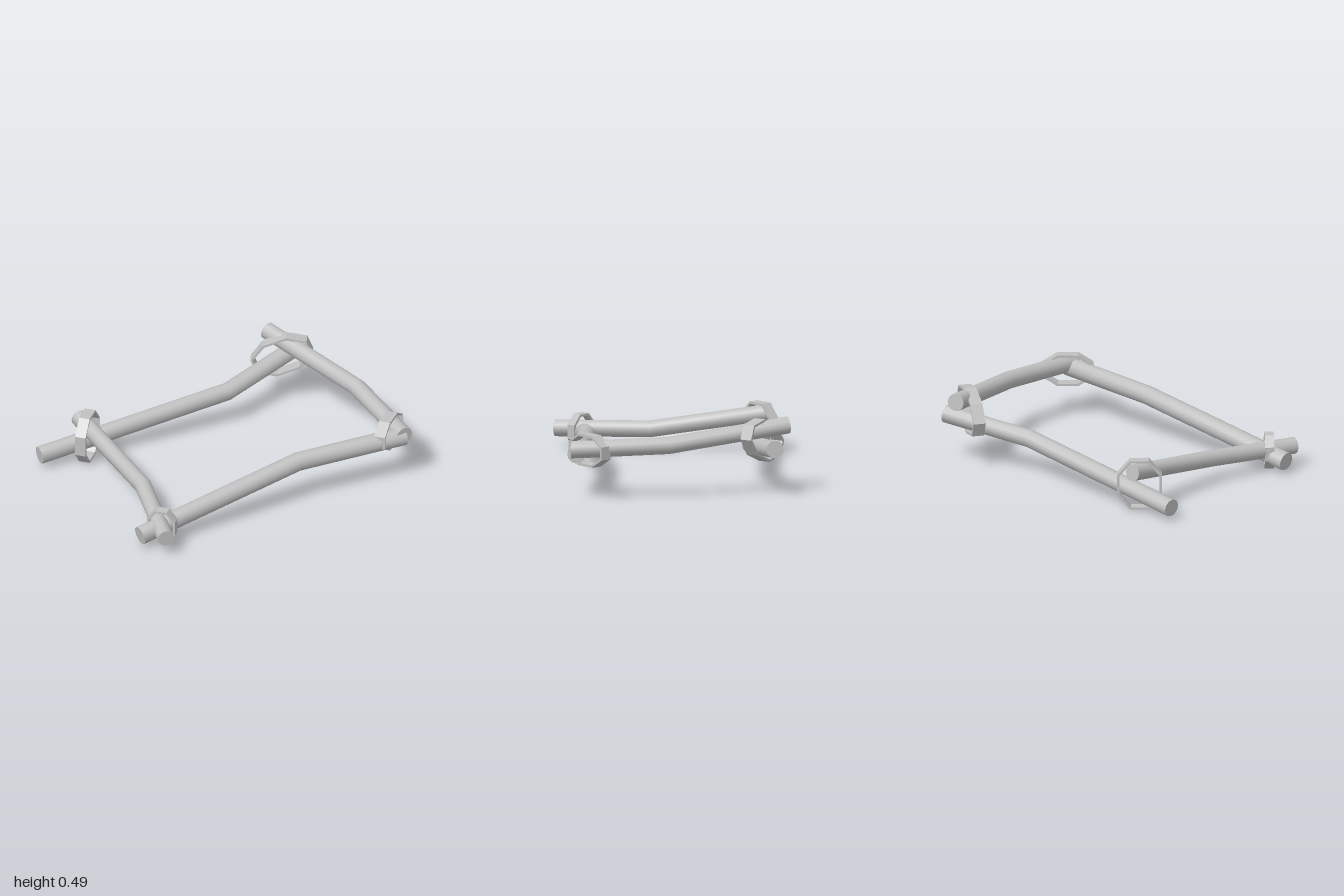
import * as THREE from 'three';
import { toCreasedNormals } from 'three/addons/utils/BufferGeometryUtils.js';

const V = (x, y, z) => new THREE.Vector3(x, y, z);

// Skins a list of equally sized vertex rings, either closed into a loop or capped
function skin(rings, closed, crease) {
  const n = rings[0].length, m = rings.length, pos = [], idx = [];
  rings.forEach(r => r.forEach(p => pos.push(p.x, p.y, p.z)));
  for (let i = 0; i < (closed ? m : m - 1); i++) {
    for (let j = 0; j < n; j++) {
      const k = (j + 1) % n, i2 = (i + 1) % m;
      const a = i * n + j, b = i * n + k, c = i2 * n + k, d = i2 * n + j;
      idx.push(a, b, c, a, c, d);
    }
  }
  if (!closed) {
    for (let j = 1; j < n - 1; j++) {
      const e = (m - 1) * n;
      idx.push(0, j + 1, j, e, e + j, e + j + 1);
    }
  }
  const g = new THREE.BufferGeometry();
  g.setAttribute('position', new THREE.Float32BufferAttribute(pos, 3));
  g.setIndex(idx);
  return toCreasedNormals(g, crease);
}

// Round pole bent at its middle point
function pole(points, radius) {
  const up = V(0, 1, 0), sides = 12;
  const rings = points.map((p, i) => {
    const t = V(0, 0, 0);
    if (i > 0) t.add(p.clone().sub(points[i - 1]).normalize());
    if (i < points.length - 1) t.add(points[i + 1].clone().sub(p).normalize());
    t.normalize();
    const a = up.clone().cross(t).normalize(), b = t.clone().cross(a);
    return Array.from({ length: sides }, (_, j) => {
      const w = j / sides * Math.PI * 2;
      return p.clone().addScaledVector(a, Math.cos(w) * radius).addScaledVector(b, Math.sin(w) * radius);
    });
  });
  return skin(rings, false, 0.7);
}

// Flat strap looped diagonally round a joint
function lashing({ at, dir, halfLength, halfHeight, roll, width }) {
  const u0 = dir.clone().normalize(), up = V(0, 1, 0);
  const n = u0.clone().cross(up).normalize();
  const u = u0.clone().applyAxisAngle(n, roll), v = up.clone().applyAxisAngle(n, roll);
  const corners = [[1, 0], [-1, 0], [-1, -1], [1, -1]], count = 8, thick = 0.016;
  const rings = Array.from({ length: count }, (_, i) => {
    const w = (i + 0.5) / count * Math.PI * 2, c = Math.cos(w), s = Math.sin(w);
    return corners.map(([side, inner]) => at.clone()
      .addScaledVector(n, side * width / 2)
      .addScaledVector(u, c * (halfLength + inner * thick))
      .addScaledVector(v, s * (halfHeight + inner * thick)));
  });
  return skin(rings, true, 0.4);
}

export function createModel() {
  const group = new THREE.Group();
  const grey = new THREE.MeshStandardMaterial({ color: 0xc0c0c0 });
  grey.name = 'plain grey';
  const add = (name, geometry) => {
    const mesh = new THREE.Mesh(geometry, grey);
    mesh.name = name;
    group.add(mesh);
  };

  // Four bent poles forming the frame
  add('frontPole', pole([V(-0.99, 0.09, 0.51), V(0.17, 0.283, 0.553), V(0.9, 0.295, 0.665)], 0.06));
  add('backPole', pole([V(-0.995, 0.09, -0.665), V(0.3, 0.235, -0.48), V(0.89, 0.31, -0.597)], 0.057));
  add('leftPole', pole([V(0.88, 0.32, 0.7), V(0.92, 0.35, 0.08), V(0.735, 0.44, -0.69)], 0.056));
  add('rightPole', pole([V(-0.91, 0.135, 0.69), V(-0.705, 0.16, 0.1), V(-0.69, 0.265, -0.68)], 0.054));

  // Straps binding the four corners
  const joints = {
    frontLeftLashing: { at: V(0.835, 0.31, 0.58), dir: V(0.8, 0, -0.6), halfLength: 0.175, halfHeight: 0.11, roll: 0, width: 0.075 },
    backLeftLashing: { at: V(0.74, 0.345, -0.525), dir: V(0.81, 0, 0.58), halfLength: 0.21, halfHeight: 0.13, roll: 0.4, width: 0.08 },
    backRightLashing: { at: V(-0.68, 0.168, -0.595), dir: V(0.77, 0, -0.63), halfLength: 0.155, halfHeight: 0.175, roll: 0, width: 0.07 },
    frontRightLashing: { at: V(-0.835, 0.13, 0.53), dir: V(0.65, 0, 0.75), halfLength: 0.1, halfHeight: 0.12, roll: 0, width: 0.06 },
  };
  for (const [name, spec] of Object.entries(joints)) add(name, lashing(spec));
  return group;
}
